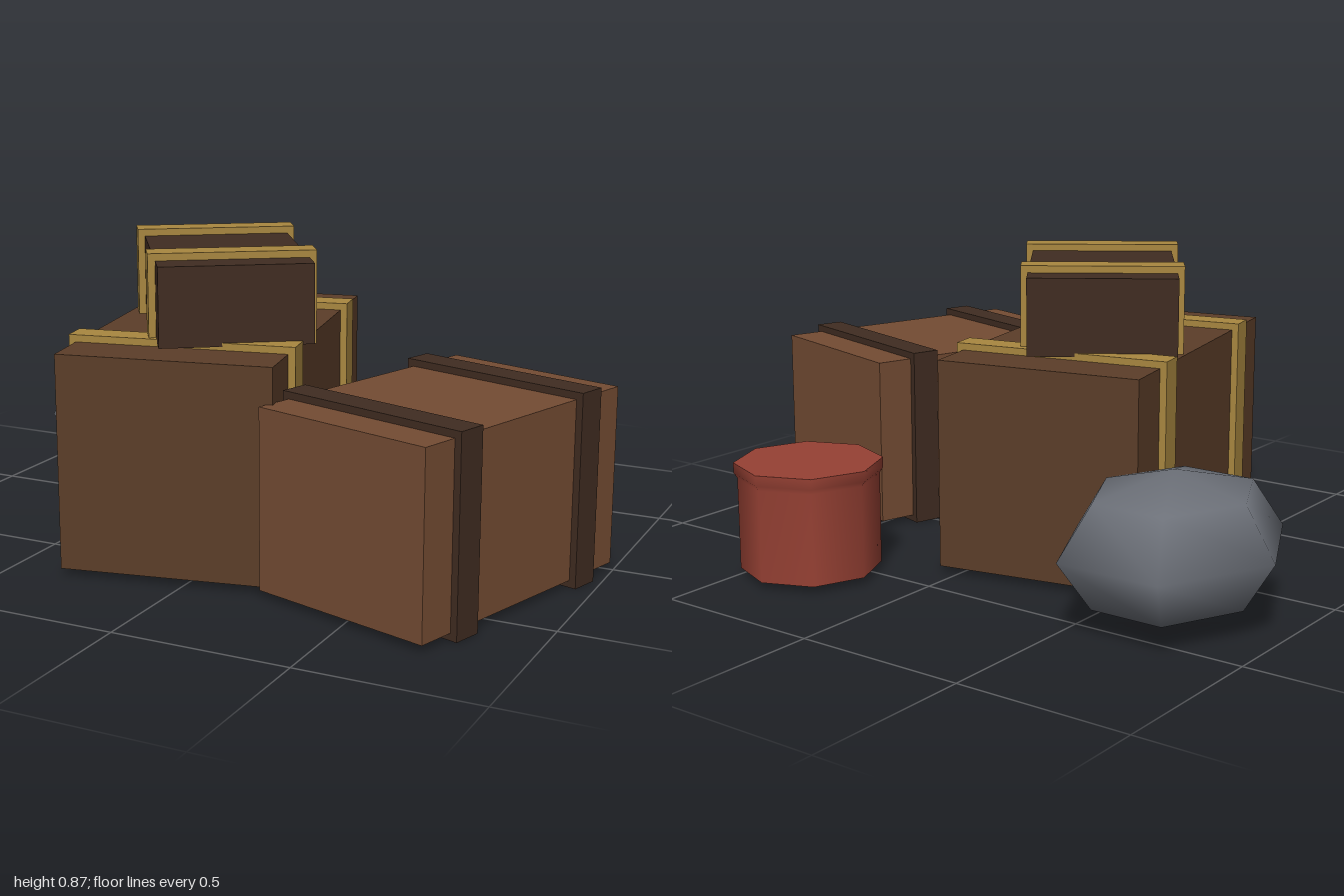
import * as THREE from 'three';

const paint = (color) => new THREE.MeshStandardMaterial({ color });

function addMesh(parent, name, geometry, material, x = 0, y = 0, z = 0) {
  const mesh = new THREE.Mesh(geometry, material);
  mesh.name = name;
  mesh.position.set(x, y, z);
  parent.add(mesh);
  return mesh;
}

// A crate wrapped by two straps that stand proud of it on every side
function makeCrate({ name, x, z, turn, base, size, strap, strapZ, wood, band }) {
  const crate = new THREE.Group();
  crate.name = name;
  crate.position.set(x, base + size[1] / 2, z);
  crate.rotation.y = turn;
  addMesh(crate, 'crateBody', new THREE.BoxGeometry(...size), paint(wood));
  const bandMaterial = paint(band);
  for (const side of [-1, 1]) {
    addMesh(crate, side < 0 ? 'backStrap' : 'frontStrap',
      new THREE.BoxGeometry(...strap), bandMaterial, 0, 0, side * strapZ);
  }
  return crate;
}

export function createModel() {
  const model = new THREE.Group();
  model.name = 'cargoPile';
  const gold = 0xa98740, darkWood = 0x402c21;

  model.add(
    makeCrate({
      name: 'largeCrate', x: -0.145, z: 0.16, turn: 0.2, base: 0.025,
      size: [0.6, 0.6, 1.0], strap: [0.64, 0.64, 0.08], strapZ: 0.305,
      wood: 0x5c3e29, band: gold,
    }),
    makeCrate({
      name: 'sideCrate', x: 0.607, z: 0.31, turn: -0.3, base: 0.025,
      size: [0.55, 0.5, 0.82], strap: [0.59, 0.54, 0.085], strapZ: 0.256,
      wood: 0x744c33, band: darkWood,
    }),
    makeCrate({
      name: 'topCrate', x: -0.125, z: 0.163, turn: 0.6, base: 0.635,
      size: [0.42, 0.22, 0.7], strap: [0.46, 0.26, 0.08], strapZ: 0.215,
      wood: darkWood, band: gold,
    }),
  );

  // Eight-sided drum with a slightly flared rim
  const drum = new THREE.Group();
  drum.name = 'drum';
  drum.position.set(0.355, 0, -0.597);
  const red = paint(0x974134);
  const profile = [[0.2, 0.025], [0.2, 0.29], [0.21, 0.305], [0.21, 0.335]]
    .map(([r, y]) => new THREE.Vector2(r, y));
  addMesh(drum, 'drumWall', new THREE.LatheGeometry(profile, 8), red);
  const lid = addMesh(drum, 'drumLid', new THREE.CircleGeometry(0.21, 8), red, 0, 0.335, 0);
  lid.rotation.x = -Math.PI / 2;
  const bottom = addMesh(drum, 'drumBottom', new THREE.CircleGeometry(0.2, 8), red, 0, 0.025, 0);
  bottom.rotation.x = Math.PI / 2;
  model.add(drum);

  // Soft sack: a coarse, squashed ball with smooth shading
  const sackShape = new THREE.SphereGeometry(1, 6, 4).scale(0.3, 0.2, 0.364);
  addMesh(model, 'sack', sackShape, paint(0x6c7078), -0.7, 0.225, -0.345);

  return model;
}
